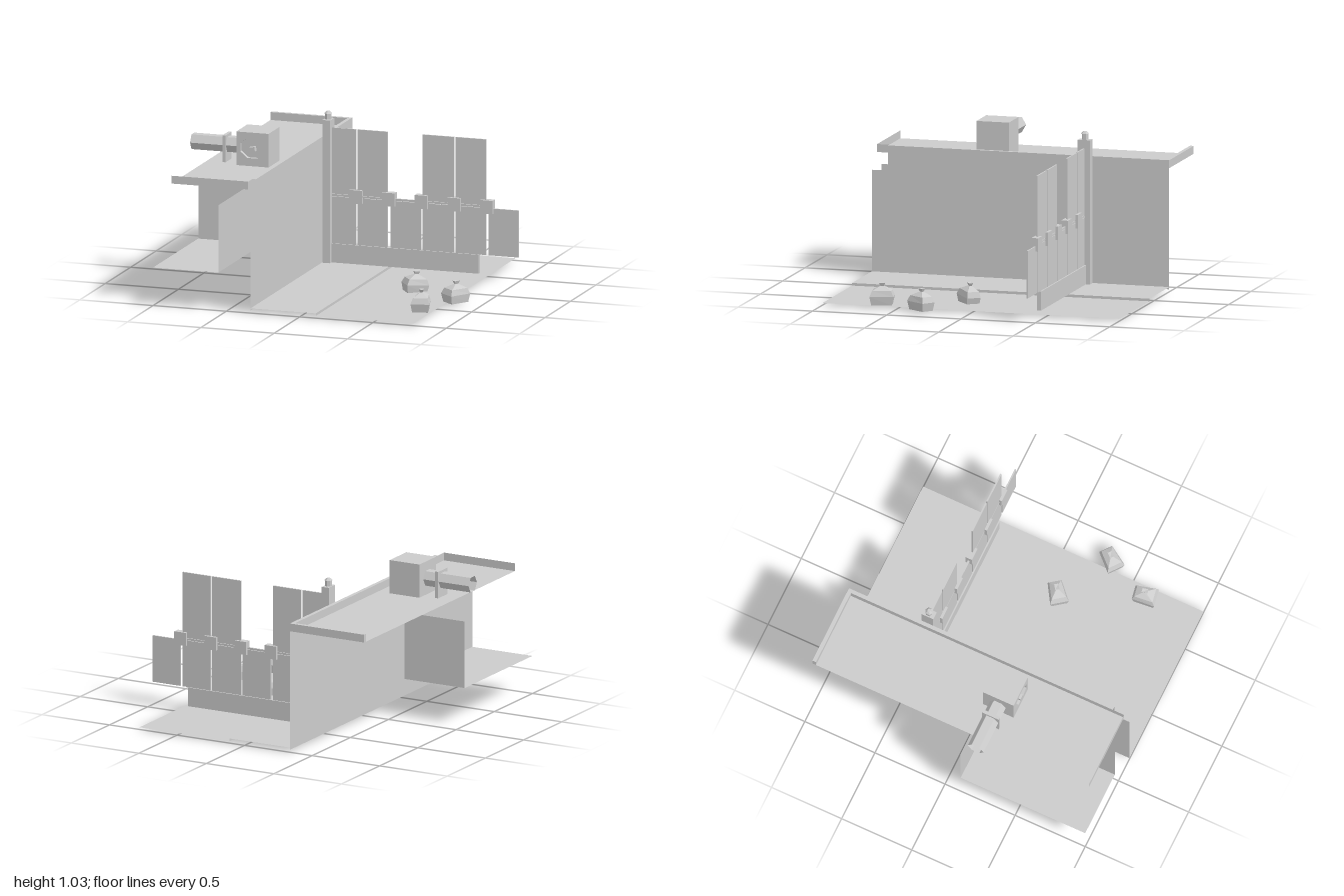
import * as THREE from 'three';

const grey = new THREE.MeshStandardMaterial({ color: 0xcccccc });
grey.name = 'plain grey';
grey.side = THREE.DoubleSide;
grey.flatShading = true;

function add(parent, name, geometry) {
  const mesh = new THREE.Mesh(geometry, grey);
  mesh.name = name;
  parent.add(mesh);
  return mesh;
}

// Box given by its limits on each axis
function box(parent, name, [x0, x1], [y0, y1], [z0, z1]) {
  const mesh = add(parent, name, new THREE.BoxGeometry(x1 - x0, y1 - y0, z1 - z0));
  mesh.position.set((x0 + x1) / 2, (y0 + y1) / 2, (z0 + z1) / 2);
  return mesh;
}

// Open sheets: flat on y, facing z, facing x
function sheetY(parent, name, [x0, x1], y, [z0, z1]) {
  const mesh = add(parent, name, new THREE.PlaneGeometry(x1 - x0, z1 - z0).rotateX(-Math.PI / 2));
  mesh.position.set((x0 + x1) / 2, y, (z0 + z1) / 2);
}
function sheetZ(parent, name, [x0, x1], [y0, y1], z) {
  const mesh = add(parent, name, new THREE.PlaneGeometry(x1 - x0, y1 - y0));
  mesh.position.set((x0 + x1) / 2, (y0 + y1) / 2, z);
}
function sheetX(parent, name, x, [y0, y1], [z0, z1]) {
  const mesh = add(parent, name, new THREE.PlaneGeometry(z1 - z0, y1 - y0).rotateY(Math.PI / 2));
  mesh.position.set(x, (y0 + y1) / 2, (z0 + z1) / 2);
}

function polygon(path, sides, rx, ry, cx, cy) {
  for (let i = 0; i <= sides; i++) {
    const a = ((i + 0.5) / sides) * Math.PI * 2;
    path[i ? 'lineTo' : 'moveTo'](cx + rx * Math.cos(a), cy + ry * Math.sin(a));
  }
  return path;
}

function ground() {
  const g = new THREE.Group();
  g.name = 'ground';
  sheetY(g, 'pavement', [-0.335, 0.11], 0.035, [-1, 1]);
  sheetX(g, 'kerb', 0.11, [0.018, 0.035], [-1, 1]);
  sheetY(g, 'road', [0.11, 0.778], 0.018, [-1, 1]);
  return g;
}

function building() {
  const g = new THREE.Group();
  g.name = 'building';
  // Long side wall, notched at its upper front corner
  const outline = new THREE.Shape([
    [-1, 0.02], [1, 0.02], [1, 0.7], [0.893, 0.7], [0.893, 0.865], [-1, 0.865],
  ].map(([z, y]) => new THREE.Vector2(-z, y)));
  add(g, 'sideWall', new THREE.ShapeGeometry(outline).rotateY(Math.PI / 2)).position.x = -0.335;
  // Roof tray with a raised rim
  sheetY(g, 'roof', [-0.885, -0.36], 0.813, [-0.975, 0.973]);
  sheetX(g, 'roofRimInner', -0.36, [0.813, 0.865], [-0.975, 0.973]);
  sheetY(g, 'roofRimTop', [-0.36, -0.335], 0.865, [-1, 0.893]);
  sheetZ(g, 'roofFrontLip', [-0.885, -0.36], [0.813, 0.865], 0.973);
  box(g, 'roofBackLip', [-0.885, -0.335], [0.813, 0.865], [-1, -0.975]);
  // Open alcove below the roof
  sheetY(g, 'alcoveFloor', [-1, -0.555], 0.255, [0.112, 1]);
  sheetZ(g, 'alcoveBackWall', [-1, -0.555], [0.255, 0.7], 0.112);
  sheetX(g, 'alcoveSideWall', -0.555, [0.255, 0.7], [0.112, 1]);
  return g;
}

function ventUnit() {
  const g = new THREE.Group();
  g.name = 'ventUnit';
  box(g, 'ventBox', [-0.665, -0.445], [0.813, 1.035], [0.112, 0.305]);
  // Front plate with a round opening
  const plate = new THREE.Shape();
  plate.moveTo(-0.665, 0.813).lineTo(-0.445, 0.813).lineTo(-0.445, 1.035).lineTo(-0.665, 1.035).closePath();
  plate.holes.push(polygon(new THREE.Path(), 8, 0.088, 0.072, -0.555, 0.932));
  add(g, 'ventFront', new THREE.ExtrudeGeometry(plate, { depth: 0.025, bevelEnabled: false })).position.z = 0.305;
  const hub = box(g, 'fanHub', [-0.573, -0.537], [0.91, 0.94], [0.305, 0.337]);
  hub.rotation.z = 0.12;
  // Six-sided duct and its clamp
  const duct = add(g, 'duct', new THREE.CylinderGeometry(0.056, 0.056, 0.335, 6, 1, true)
    .rotateZ(Math.PI / 2));
  duct.position.set(-0.8325, 0.924, 0.218);
  box(g, 'ductClamp', [-0.778, -0.756], [0.813, 0.99], [0.158, 0.278]);
  return g;
}

Object.assign(ventUnit, {});

function fence() {
  const g = new THREE.Group();
  g.name = 'fence';
  const z = -0.443;
  box(g, 'post', [-0.332, -0.279], [0.035, 0.978], [z - 0.042, z + 0.042]);
  const finial = add(g, 'postCap', new THREE.CylinderGeometry(0.022, 0.022, 0.04, 6));
  finial.position.set(-0.306, 0.998, z);
  const tip = add(g, 'postTip', new THREE.CylinderGeometry(0.012, 0.027, 0.015, 6));
  tip.position.set(-0.306, 1.024, z);
  box(g, 'baseBoard', [-0.279, 0.725], [0.035, 0.16], [z - 0.014, z + 0.014]);
  box(g, 'middleRail', [-0.279, 0.79], [0.473, 0.486], [z - 0.006, z + 0.006]);
  // Panels: start, end, and whether an upper panel remains
  const panels = [
    [-0.279, -0.116, true], [-0.104, 0.101, true], [0.12, 0.328, false],
    [0.34, 0.552, true], [0.563, 0.773, true], [0.788, 0.993, false],
  ];
  panels.forEach(([x0, x1, tall]) => {
    box(g, 'lowerPanel', [x0, x1], [0.16, 0.47], [z - 0.005, z + 0.005]);
    if (tall) box(g, 'upperPanel', [x0, x1], [0.488, 0.924], [z - 0.005, z + 0.005]);
  });
  // Clamps at the joints
  for (let i = 0; i < 5; i++) {
    const x = -0.112 + i * 0.223;
    box(g, 'panelClamp', [x - 0.043, x + 0.043], [0.437, 0.525], [z - 0.023, z + 0.023]);
  }
  return g;
}

// Tied sack: a four-sided lathe, wider at one end
function sack(x, y, z, turn, lean) {
  const profile = [[0, 0], [0.86, 0], [1, 0.055], [0.8, 0.092], [0.14, 0.12], [0.26, 0.14], [0, 0.136]]
    .map(([r, h]) => new THREE.Vector2(r * Math.SQRT2, h));
  const geometry = new THREE.LatheGeometry(profile, 4, Math.PI / 4).scale(0.077, 1, 0.054);
  const p = geometry.attributes.position;
  for (let i = 0; i < p.count; i++) p.setZ(i, p.getZ(i) * (1 - 1.8 * p.getX(i)));
  const mesh = new THREE.Mesh(geometry, grey);
  mesh.name = 'sack';
  mesh.position.set(x, y, z);
  mesh.rotation.set(0, turn, lean);
  return mesh;
}

export function createModel() {
  const model = new THREE.Group();
  model.name = 'alleyCorner';
  model.add(ground(), building(), ventUnit(), fence());
  model.add(
    sack(0.475, 0.009, 0.1, 0.65, -0.08),
    sack(0.83, 0.018, 0.315, 0.9, 0),
    sack(0.7, 0.018, 0.62, 1.75, 0),
  );
  return model;
}
